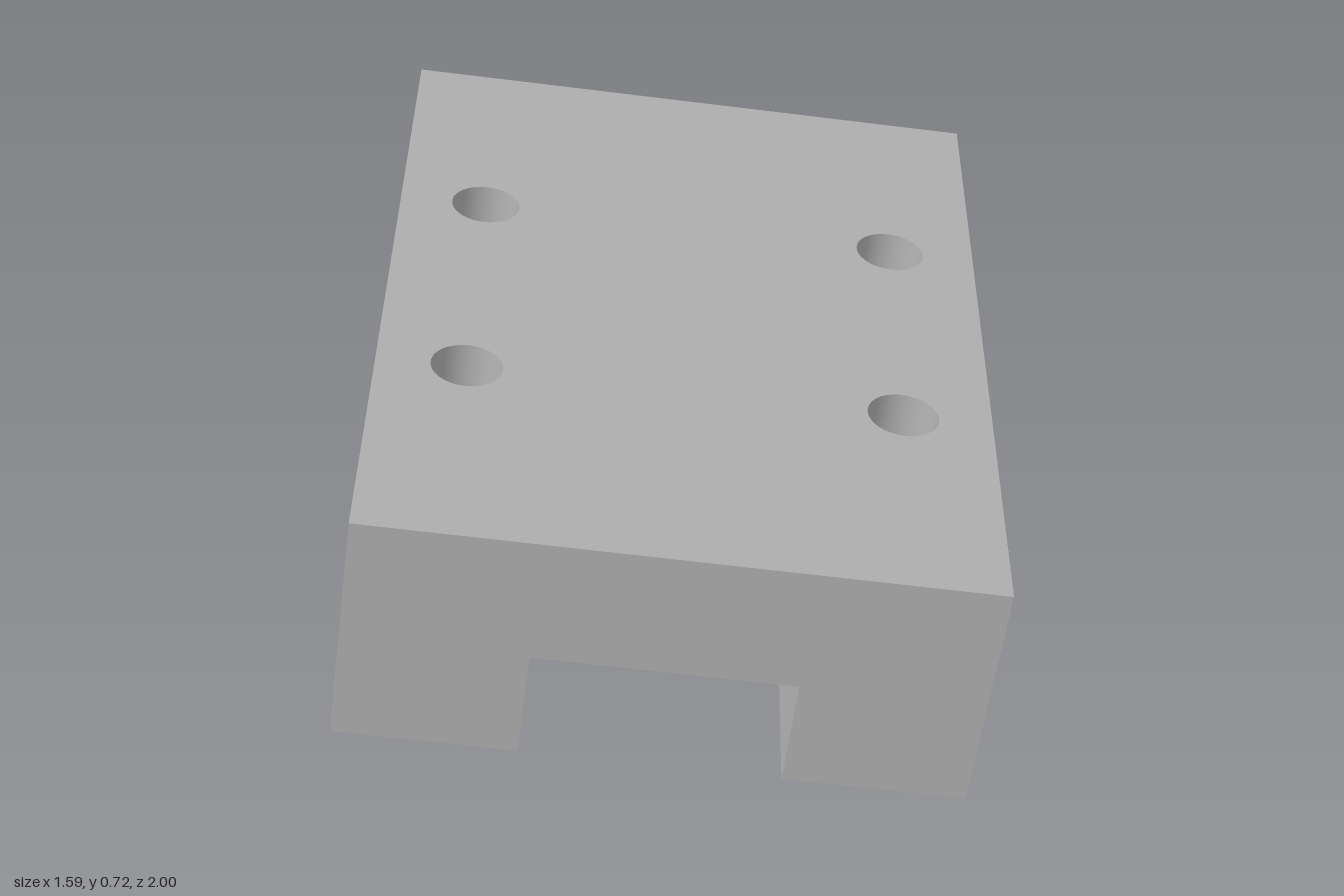
import * as THREE from 'three';
import { toCreasedNormals } from 'three/addons/utils/BufferGeometryUtils.js';

const W = 1.321, H = 0.534, D = 1.853;          // block size
const GROOVE_W = 0.549, GROOVE_H = 0.248;       // underside channel
const HOLE_R = 0.077, HOLE_DEPTH = 0.2, HOLE_X = 0.467, HOLE_Z = 0.331;

// Channel-shaped body without its top side, which the drilled plate closes
function bodyGeometry() {
  const w = W / 2, g = GROOVE_W / 2;
  const profile = new THREE.Shape([
    [-w, 0], [-g, 0], [-g, GROOVE_H], [g, GROOVE_H], [g, 0], [w, 0], [w, H], [-w, H],
  ].map(([x, y]) => new THREE.Vector2(x, y)));
  const solid = new THREE.ExtrudeGeometry(profile, { depth: D, bevelEnabled: false }).translate(0, 0, -D / 2);
  const pos = solid.attributes.position, normal = solid.attributes.normal, kept = [];
  for (let i = 0; i < pos.count; i += 3) {
    if (normal.getY(i) > 0.9) continue;
    for (let k = i; k < i + 3; k++) kept.push(pos.getX(k), pos.getY(k), pos.getZ(k));
  }
  const geo = new THREE.BufferGeometry();
  geo.setAttribute('position', new THREE.Float32BufferAttribute(kept, 3));
  geo.computeVertexNormals();
  return geo;
}

export function createModel() {
  const model = new THREE.Group();
  model.name = 'grooved mounting block';
  const grey = new THREE.MeshStandardMaterial({ color: 0xb0b0b0 });
  grey.name = 'grey metal';

  const add = (name, geo) => {
    const mesh = new THREE.Mesh(geo, grey);
    mesh.name = name;
    block.add(mesh);
    return mesh;
  };
  const block = new THREE.Group();
  block.name = 'tilted block';
  model.add(block);

  add('channelBody', bodyGeometry());

  // Top face with four round openings, and a blind hole under each
  const top = new THREE.Shape([[-1, -1], [1, -1], [1, 1], [-1, 1]]
    .map(([x, y]) => new THREE.Vector2(x * W / 2, y * D / 2)));
  const holeGeo = toCreasedNormals(new THREE.LatheGeometry([
    new THREE.Vector2(HOLE_R, 0), new THREE.Vector2(HOLE_R, -HOLE_DEPTH), new THREE.Vector2(0, -HOLE_DEPTH),
  ], 40), 0.6);
  for (const sx of [-1, 1]) for (const sz of [-1, 1]) {
    top.holes.push(new THREE.Path().absarc(sx * HOLE_X, -sz * HOLE_Z, HOLE_R, 0, Math.PI * 2, true));
    add('blindHole', holeGeo).position.set(sx * HOLE_X, H, sz * HOLE_Z);
  }
  add('topFace', new THREE.ShapeGeometry(top, 20).rotateX(-Math.PI / 2).translate(0, H, 0));

  // Lean and turn of the whole block
  const x = new THREE.Vector3(1.30, -0.17, -0.16).normalize();
  const y = new THREE.Vector3(0.22, -0.022, 1.84).cross(x).normalize();
  const z = new THREE.Vector3().crossVectors(x, y);
  block.quaternion.setFromRotationMatrix(new THREE.Matrix4().makeBasis(x, y, z));
  block.position.set(-0.036, 0.1, 0);
  return model;
}
